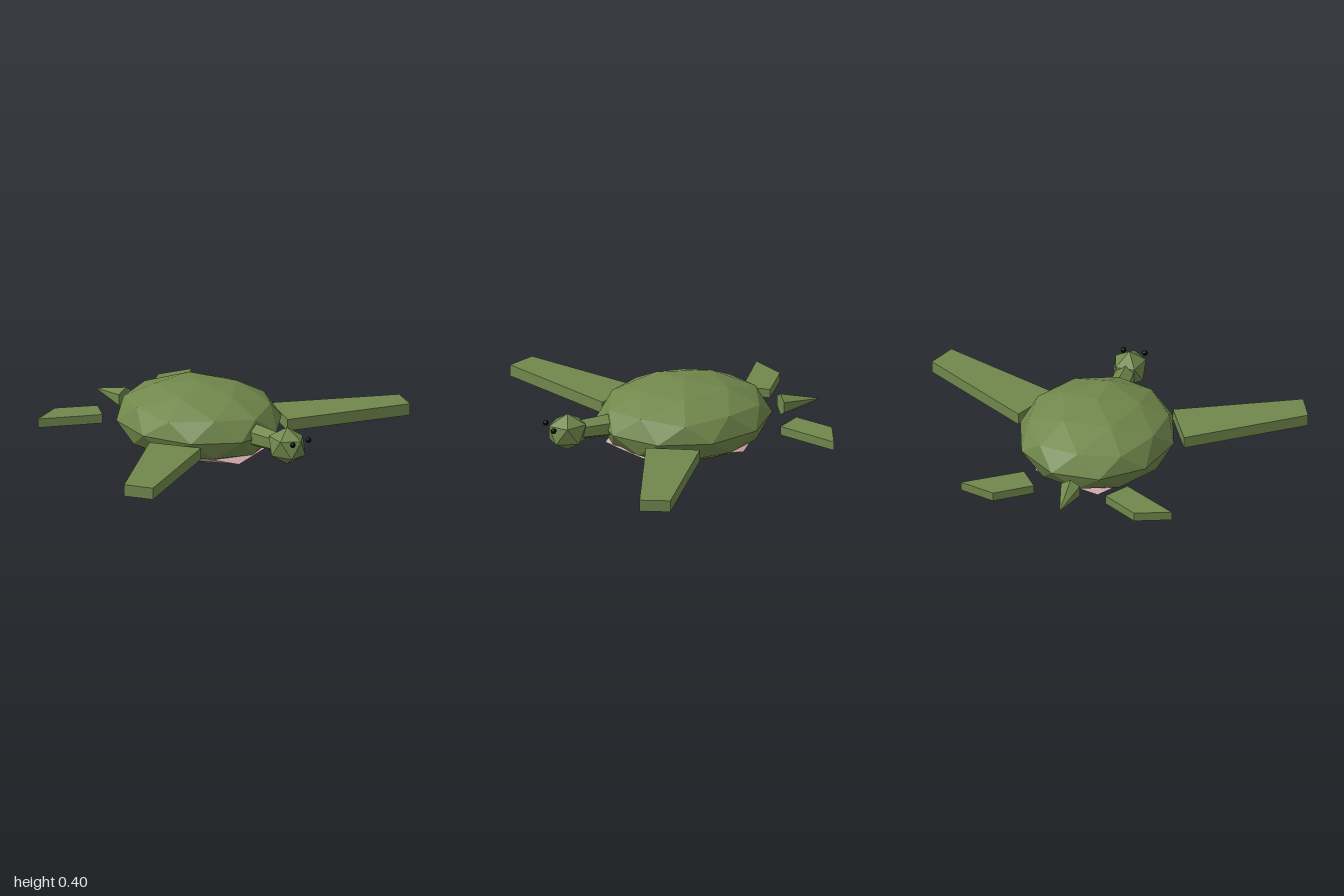
import * as THREE from 'three';

const material = (name, color) => {
  const m = new THREE.MeshStandardMaterial({ color });
  m.name = name;
  return m;
};

// Hard-edged facets
const faceted = (geometry) => {
  const g = geometry.index ? geometry.toNonIndexed() : geometry;
  g.computeVertexNormals();
  return g;
};

// Icosphere with a vertex at the top, stretched to the given radii
function icoBlob(rx, ry, rz, detail, turn = 0) {
  const g = new THREE.IcosahedronGeometry(1, detail);
  g.rotateX(-Math.atan((1 + Math.sqrt(5)) / 2));
  g.rotateY(turn);
  g.scale(rx, ry, rz);
  return faceted(g);
}

// Flat slab from an outline of [x, z] points, mirrored when side is -1
function slab(points, y0, y1, side) {
  const shape = new THREE.Shape(points.map(([x, z]) => new THREE.Vector2(x * side, -z)));
  const g = new THREE.ExtrudeGeometry(shape, { depth: y1 - y0, bevelEnabled: false });
  g.rotateX(-Math.PI / 2);
  g.translate(0, y0, 0);
  return g;
}

export function createModel() {
  const green = material('turtle green', 0x71884c);
  const pink = material('belly pink', 0xd0a8aa);
  const black = material('eye black', 0x050505);

  const model = new THREE.Group();
  model.name = 'seaTurtle';
  const add = (name, geometry, mat, x = 0, y = 0, z = 0) => {
    const mesh = new THREE.Mesh(geometry, mat);
    mesh.name = name;
    mesh.position.set(x, y, z);
    model.add(mesh);
  };

  // Shell and the belly plate that rings its underside
  add('shell', icoBlob(0.408, 0.2, 0.46, 1), green, 0, 0.205, 0);
  add('bellyPlate', icoBlob(0.37, 0.05, 0.45, 0, Math.PI / 10), pink, 0, 0.094, 0.01);

  // Head and neck
  add('head', icoBlob(0.095, 0.1, 0.115, 0), green, 0, 0.21, 0.64);
  const neck = new THREE.CylinderGeometry(0.052, 0.062, 0.18, 6);
  neck.rotateX(Math.PI / 2);
  add('neck', faceted(neck), green, 0, 0.212, 0.49);

  // Pointed tail, set apart behind the shell
  const tail = new THREE.ConeGeometry(0.058, 0.22, 6);
  tail.rotateX(-Math.PI / 2);
  add('tail', faceted(tail), green, 0, 0.182, -0.64);

  // Paired flippers and eyes
  const frontOutline = [[0.44, 0.08], [1, 0.455], [0.935, 0.6], [0.315, 0.33]];
  const rearOutline = [[0.19, -0.545], [0.375, -0.67], [0.56, -0.61], [0.275, -0.425]];
  for (const [side, label] of [[1, 'left'], [-1, 'right']]) {
    add(label + 'FrontFlipper', slab(frontOutline, 0.136, 0.198, side), green);
    add(label + 'RearFlipper', slab(rearOutline, 0.138, 0.185, side), green);
    add(label + 'Eye', icoBlob(0.015, 0.015, 0.015, 1), black, side * 0.057, 0.25, 0.738);
  }
  return model;
}
